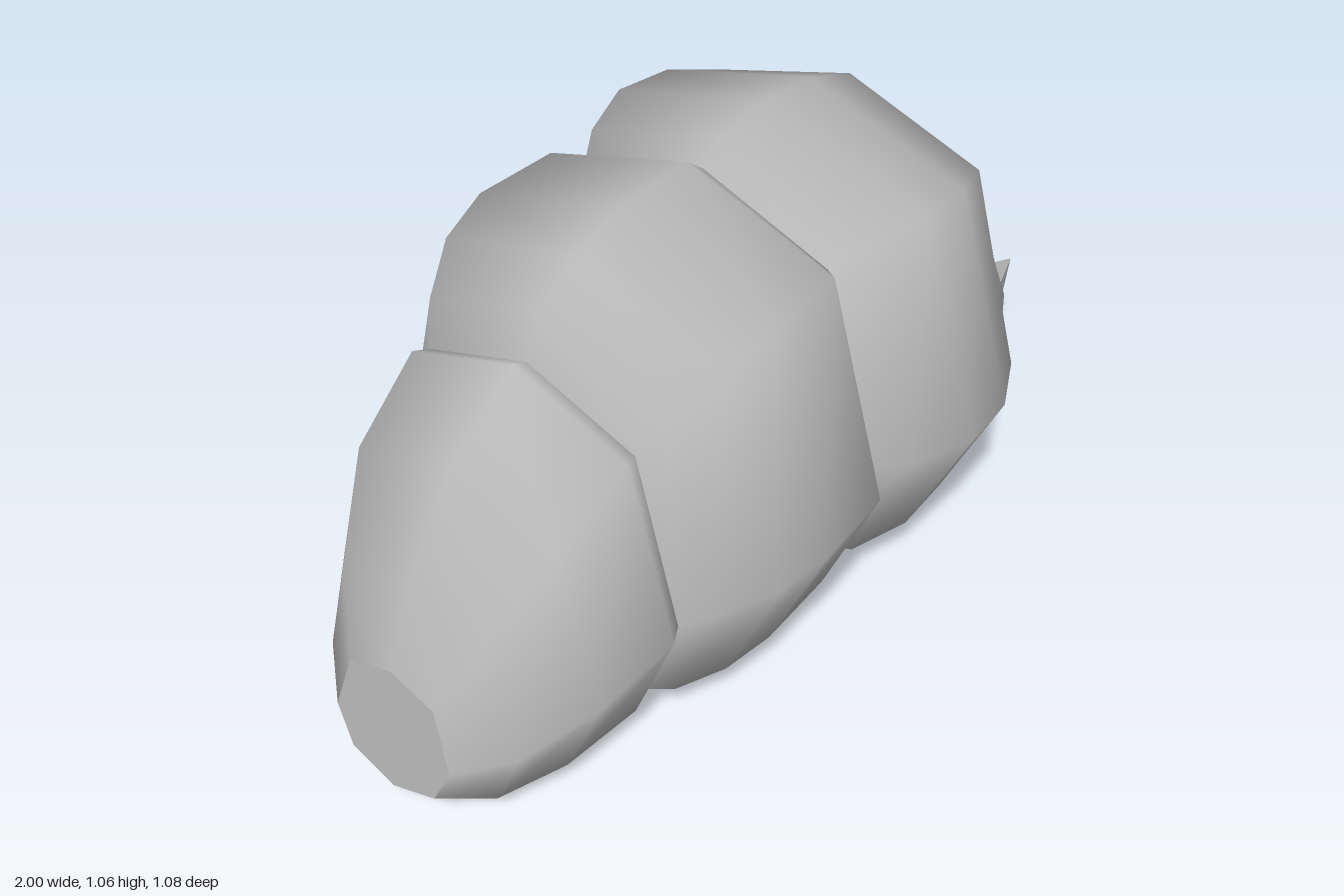
import * as THREE from 'three';

const shell = new THREE.MeshStandardMaterial({ color: 0xb8b8b8 });
shell.name = 'grubGrey';

// Half octagon outlines, top to bottom: [height fraction, width fraction]
const BODY = [[1, 0], [0.885, 0.73], [0.42, 1], [0.128, 0.73], [0, 0]];
const HEAD = [[1, 0], [0.865, 0.77], [0.435, 1], [0.06, 0.77], [0, 0]];

// Ring: [x at bottom, x at top, bottom y, top y, half width]
function ringPoints([xb, xt, bottom, top, half], outline) {
  const mirrored = outline.slice(1, -1).reverse().map(([h, w]) => [h, -w]);
  return [...outline, ...mirrored].map(([h, w]) =>
    new THREE.Vector3(xb + (xt - xb) * h, bottom + (top - bottom) * h, w * half));
}

function toGeometry(points, index) {
  const geometry = new THREE.BufferGeometry().setFromPoints(points);
  if (index) geometry.setIndex(index);
  geometry.computeVertexNormals();
  return geometry;
}

// Smooth skin through rings running along +x
function loft(rings, outline) {
  const points = rings.flatMap((r) => ringPoints(r, outline));
  const n = 8;
  const index = [];
  for (let i = 0; i < rings.length - 1; i++) {
    for (let j = 0; j < n; j++) {
      const a = i * n + j, b = i * n + (j + 1) % n;
      index.push(a, b, a + n, b, b + n, a + n);
    }
  }
  return toGeometry(points, index);
}

// Faceted fan closing a ring
function fan(points, apex, facesPlusX) {
  const tris = [];
  points.forEach((p, j) => {
    const q = points[(j + 1) % points.length];
    tris.push(apex, ...(facesPlusX ? [p, q] : [q, p]));
  });
  return toGeometry(tris);
}

export function createModel() {
  const model = new THREE.Group();
  model.name = 'grub';
  const add = (name, geometry) => {
    const mesh = new THREE.Mesh(geometry, shell);
    mesh.name = name;
    model.add(mesh);
  };

  // Three swollen body segments
  const tail = [
    [-1, -0.97, 0.07, 0.36, 0.15],
    [-0.9, -0.9, 0.005, 0.53, 0.25],
    [-0.77, -0.77, 0.005, 0.73, 0.34],
    [-0.59, -0.59, 0.005, 0.855, 0.372],
    [-0.555, -0.555, 0.035, 0.84, 0.355],
  ];
  add('tailSegment', loft(tail, BODY));
  add('tailCap', fan(ringPoints(tail[0], BODY), new THREE.Vector3(-0.985, 0.215, 0), false));
  add('middleSegment', loft([
    [-0.555, -0.555, 0.035, 0.84, 0.355],
    [-0.5, -0.505, 0, 0.93, 0.41],
    [-0.4, -0.4, 0, 1, 0.48],
    [-0.28, -0.28, 0, 1.04, 0.505],
    [-0.08, -0.08, 0, 1.04, 0.49],
    [-0.03, -0.03, 0.05, 1, 0.42],
  ], BODY));
  add('frontSegment', loft([
    [-0.03, -0.03, 0.05, 1, 0.42],
    [0.04, 0.04, 0, 1.04, 0.48],
    [0.18, 0.18, 0, 1.057, 0.54],
    [0.33, 0.33, 0, 1.04, 0.525],
    [0.47, 0.47, 0.025, 0.985, 0.455],
    [0.525, 0.525, 0.065, 0.835, 0.405],
    [0.556, 0.556, 0.12, 0.655, 0.345],
  ], BODY));

  // Head with a blunt faceted face
  const head = [
    [0.55, 0.55, 0.115, 0.655, 0.345],
    [0.65, 0.63, 0.115, 0.655, 0.33],
    [0.79, 0.775, 0.185, 0.54, 0.25],
  ];
  add('head', loft(head, HEAD));
  add('face', fan(ringPoints(head[2], HEAD), new THREE.Vector3(0.845, 0.32, 0), true));

  // Pointed mandibles, mirrored across z
  for (const side of [1, -1]) {
    const base = [[0.345, 0.1], [0.345, 0.24], [0.205, 0.24], [0.205, 0.1]]
      .map(([y, z]) => new THREE.Vector3(0.76, y, side * z));
    if (side < 0) base.reverse();
    const name = side > 0 ? 'leftMandible' : 'rightMandible';
    add(name, fan(base, new THREE.Vector3(1, 0.275, side * 0.14), true));
    add(name + 'Base', fan(base, new THREE.Vector3(0.76, 0.275, side * 0.17), false));
  }
  return model;
}
